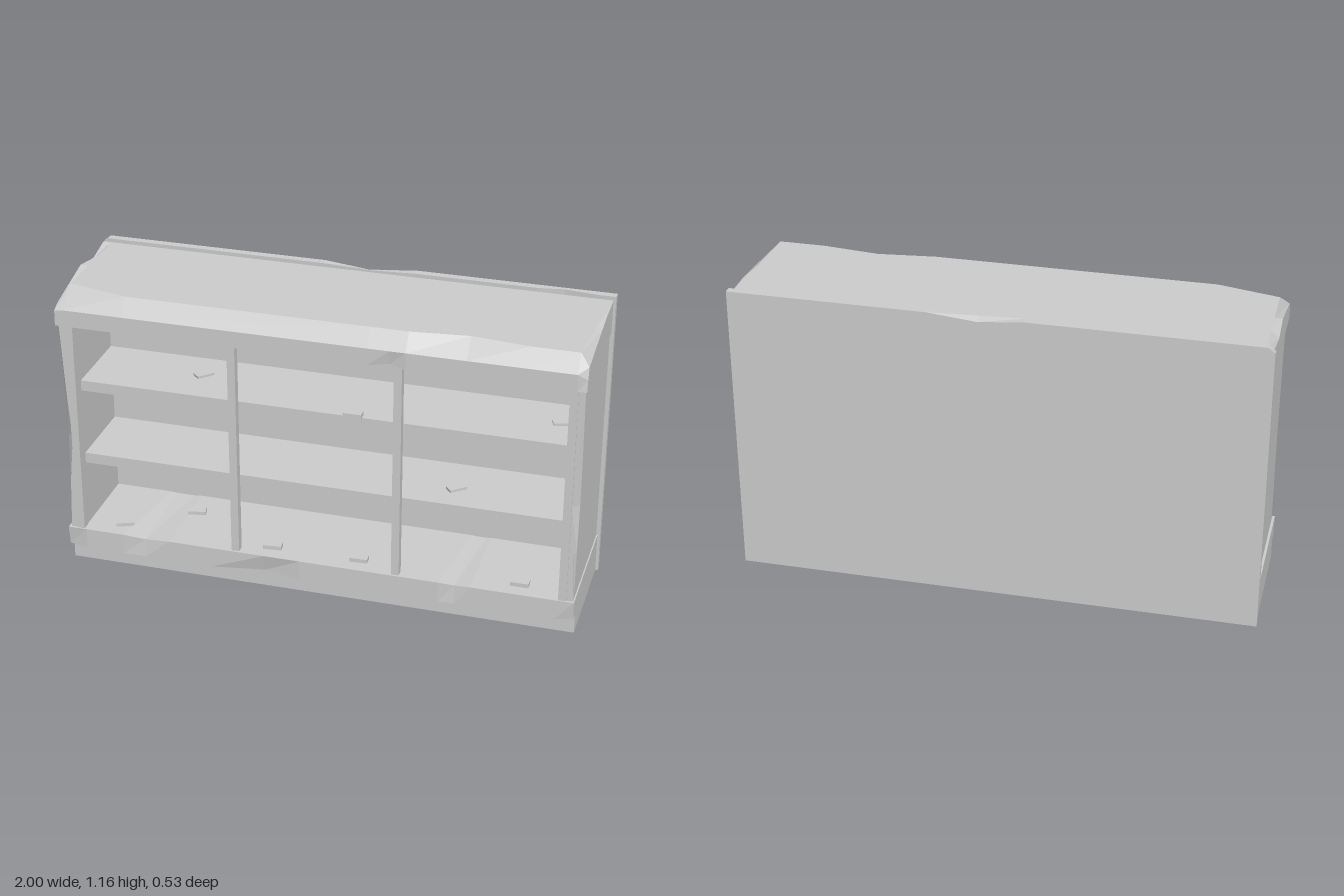
import * as THREE from 'three';

const material = new THREE.MeshStandardMaterial({ color: 0xcccccc, flatShading: true, side: THREE.DoubleSide });

function add(parent, name, geometry) {
  const mesh = new THREE.Mesh(geometry, material);
  mesh.name = name;
  parent.add(mesh);
  return mesh;
}

// Box given by its minimum and maximum on each axis
function block(parent, name, [x0, x1], [y0, y1], [z0, z1]) {
  const g = new THREE.BoxGeometry(x1 - x0, y1 - y0, z1 - z0);
  g.translate((x0 + x1) / 2, (y0 + y1) / 2, (z0 + z1) / 2);
  return add(parent, name, g);
}

// Closed solid through a row of cross-sections (equal point counts), faces turned outward
function loft(sections) {
  const tris = [], n = sections[0].length, last = sections[sections.length - 1];
  for (let s = 0; s < sections.length - 1; s++) {
    const a = sections[s], b = sections[s + 1];
    for (let i = 0; i < n; i++) {
      const j = (i + 1) % n;
      tris.push([a[i], b[i], b[j]], [a[i], b[j], a[j]]);
    }
  }
  for (let i = 1; i < n - 1; i++) {
    tris.push([sections[0][0], sections[0][i], sections[0][i + 1]], [last[0], last[i + 1], last[i]]);
  }
  const v = p => new THREE.Vector3(...p);
  const volume = tris.reduce((sum, [a, b, c]) => sum + v(a).dot(v(b).cross(v(c))), 0);
  if (volume < 0) tris.forEach(t => t.reverse());
  const g = new THREE.BufferGeometry();
  g.setAttribute('position', new THREE.Float32BufferAttribute(tris.flat(2), 3));
  g.computeVertexNormals();
  return g;
}

// Run a [z, y] profile along x; every station may replace some profile points (chipped edges)
function runAlongX(profile, stations) {
  return loft(stations.map(([x, chips = {}]) => profile.map((p, i) => {
    const [z, y, px = x] = chips[i] || p;
    return [px, y, z];
  })));
}

export function createModel() {
  const model = new THREE.Group();
  model.name = 'shelfCabinet';

  // Plinth with an overhanging lip and worn edges
  add(model, 'base', runAlongX(
    [[-0.235, 0], [0.225, 0], [0.225, 0.075], [0.27, 0.075], [0.27, 0.157], [-0.235, 0.157]],
    [
      [-0.995, { 3: [0.26, 0.08] }], [-0.92],
      [-0.77], [-0.68, { 4: [0.262, 0.147] }], [-0.58],
      [-0.41], [-0.2, { 3: [0.255, 0.088] }], [-0.06],
      [0.48], [0.54, { 4: [0.262, 0.15] }], [0.6],
      [0.92], [0.99, { 3: [0.26, 0.082] }],
    ]));

  // Tall back board with dents along its top
  add(model, 'backBoard', runAlongX(
    [[-0.265, 0], [-0.235, 0], [-0.235, 1.165], [-0.265, 1.165]],
    [
      [-1, { 2: [-0.235, 1.14], 3: [-0.265, 1.145] }], [-0.975],
      [-0.11], [0.06, { 2: [-0.235, 1.158], 3: [-0.265, 1.147] }], [0.25],
      [0.71], [0.81, { 2: [-0.25, 1.165] }], [0.93], [1],
    ]));
  block(model, 'innerBack', [-0.96, 0.96], [0.15, 1.025], [-0.235, -0.1]);

  // Sloped-front canopy, broken at both ends
  add(model, 'canopy', runAlongX(
    [[-0.235, 1.02], [0.27, 1.02], [0.27, 1.085], [0.225, 1.15], [0, 1.15], [-0.1, 1.15], [-0.235, 1.15]],
    [
      [-0.995, { 2: [0.268, 1.08], 3: [0.24, 1.095], 5: [-0.1, 1.12] }],
      [-0.965, { 3: [0.17, 1.15] }],
      [-0.73],
      [0.2], [0.28, { 1: [0.262, 1.032] }], [0.34],
      [0.56, { 3: [0.2, 1.15] }], [0.78],
      [0.955, { 4: [0, 1.15, 0.97], 5: [-0.1, 1.15, 0.98], 6: [-0.235, 1.15, 0.988] }],
      [0.99, { 2: [0.262, 1.065], 3: [0.25, 1.11], 4: [0, 1.138], 5: [-0.1, 1.148] }],
    ]));

  // Side walls with a chipped outer front corner, and the front posts beside them
  for (const side of [1, -1]) {
    const sideName = side > 0 ? 'left' : 'right';
    const wall = [[0.157, 0.245, 0], [0.36, 0.24, 0.008], [0.55, 0.232, 0.026], [0.72, 0.238, 0.014], [1.02, 0.25, 0]];
    add(model, sideName + 'Wall', loft(wall.map(([y, z, cut]) => [
      [0.932, y, -0.235], [0.985, y, -0.235], [0.985, y, z], [0.985 - cut, y, 0.26 - cut * 0.1], [0.932, y, 0.26 - cut * 0.1],
    ].map(([x, py, pz]) => [side * x, py, pz]))));
    const xs = side > 0 ? [0.93, 0.96] : [-0.96, -0.93];
    block(model, sideName + 'Post', xs, [0.15, 1.025], [0.225, 0.265]);
  }
  for (const x of [-0.316, 0.311]) {
    block(model, 'middlePost', [x - 0.015, x + 0.015], [0.15, 1.03], [0.23, 0.262]);
  }

  // Two shelves
  for (const y of [0.42, 0.73]) {
    block(model, 'shelf', [-0.935, 0.935], [y, y + 0.042], [-0.11, 0.21]);
  }

  // Loose splinters lying on the floor and shelves: x, y, z, turn
  const splinters = [
    [-0.79, 0.163, 0.19, 0.4], [-0.55, 0.163, 0.03, 0.2], [-0.185, 0.166, 0.2, 0.1],
    [0.155, 0.166, 0.2, 0.05], [0.775, 0.166, 0.2, 0], [0.5, 0.464, 0.09, 0.7],
    [-0.5, 0.774, 0.04, 0.8], [0.875, 0.774, 0.05, 0.3],
  ];
  for (const [x, y, z, turn] of splinters) {
    const chip = add(model, 'splinter', new THREE.BoxGeometry(0.07, 0.016, 0.035));
    chip.position.set(x, y, z);
    chip.rotation.y = turn;
  }
  block(model, 'shelfEdgeSplinter', [0.095, 0.165], [0.76, 0.788], [0.185, 0.22]);

  return model;
}
